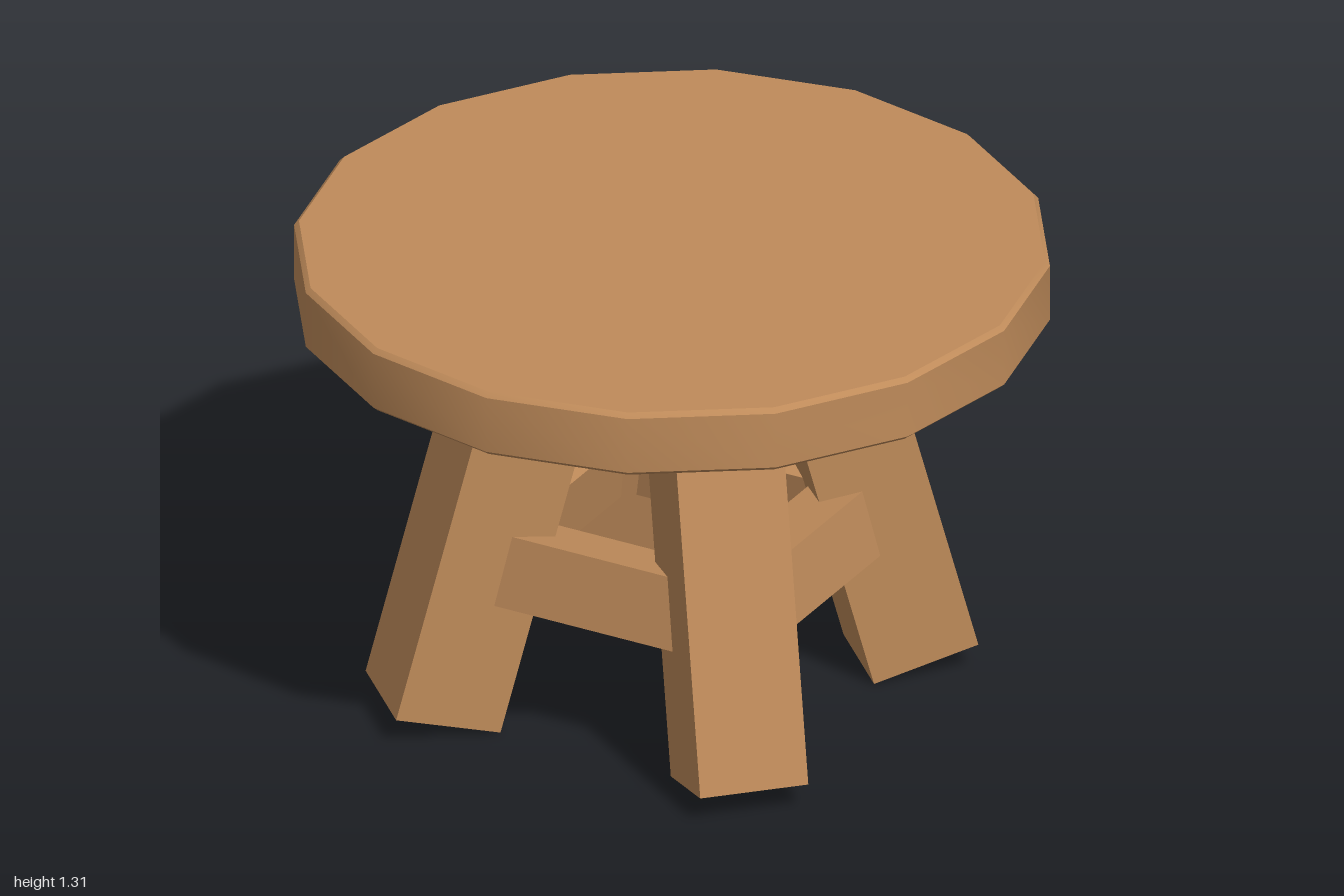
import * as THREE from 'three';
import { toCreasedNormals } from 'three/addons/utils/BufferGeometryUtils.js';

const rad = THREE.MathUtils.degToRad;

export function createModel() {
  const model = new THREE.Group();
  model.name = 'roundTable';

  const wood = new THREE.MeshStandardMaterial({ color: 0xbf8b5a });
  wood.name = 'wood';

  // Leaning beam: its outer bottom edge sits at (radius, y) in the direction of angle
  function addBeam(name, angle, width, height, depth, lean, radius, y) {
    const geometry = new THREE.BoxGeometry(width, height, depth);
    geometry.translate(0, height / 2, -depth / 2);
    geometry.rotateX(-lean);
    geometry.translate(0, y, radius);
    geometry.rotateY(angle);
    const mesh = new THREE.Mesh(geometry, wood);
    mesh.name = name;
    model.add(mesh);
  }

  // Sixteen-sided top with narrow bevels
  const profile = [
    [0, 1.125], [0.985, 1.125], [1, 1.138], [1, 1.297], [0.987, 1.31], [0, 1.31],
  ].map(([x, y]) => new THREE.Vector2(x, y));
  const top = new THREE.Mesh(
    toCreasedNormals(new THREE.LatheGeometry(profile, 16), rad(30)), wood);
  top.name = 'tableTop';
  model.add(top);

  // Four splayed legs, with a crossbar between each pair of neighbours
  const legs = ['front', 'left', 'back', 'right'];
  const bars = ['frontLeft', 'backLeft', 'backRight', 'frontRight'];
  for (let i = 0; i < 4; i++) {
    const angle = i * Math.PI / 2;
    addBeam(legs[i] + 'Leg', angle, 0.295, 1.2, 0.295, rad(15), 0.795, 0.077);
    addBeam(bars[i] + 'Crossbar', angle + Math.PI / 4, 0.76, 0.2, 0.17, rad(10), 0.477, 0.378);
  }
  return model;
}
